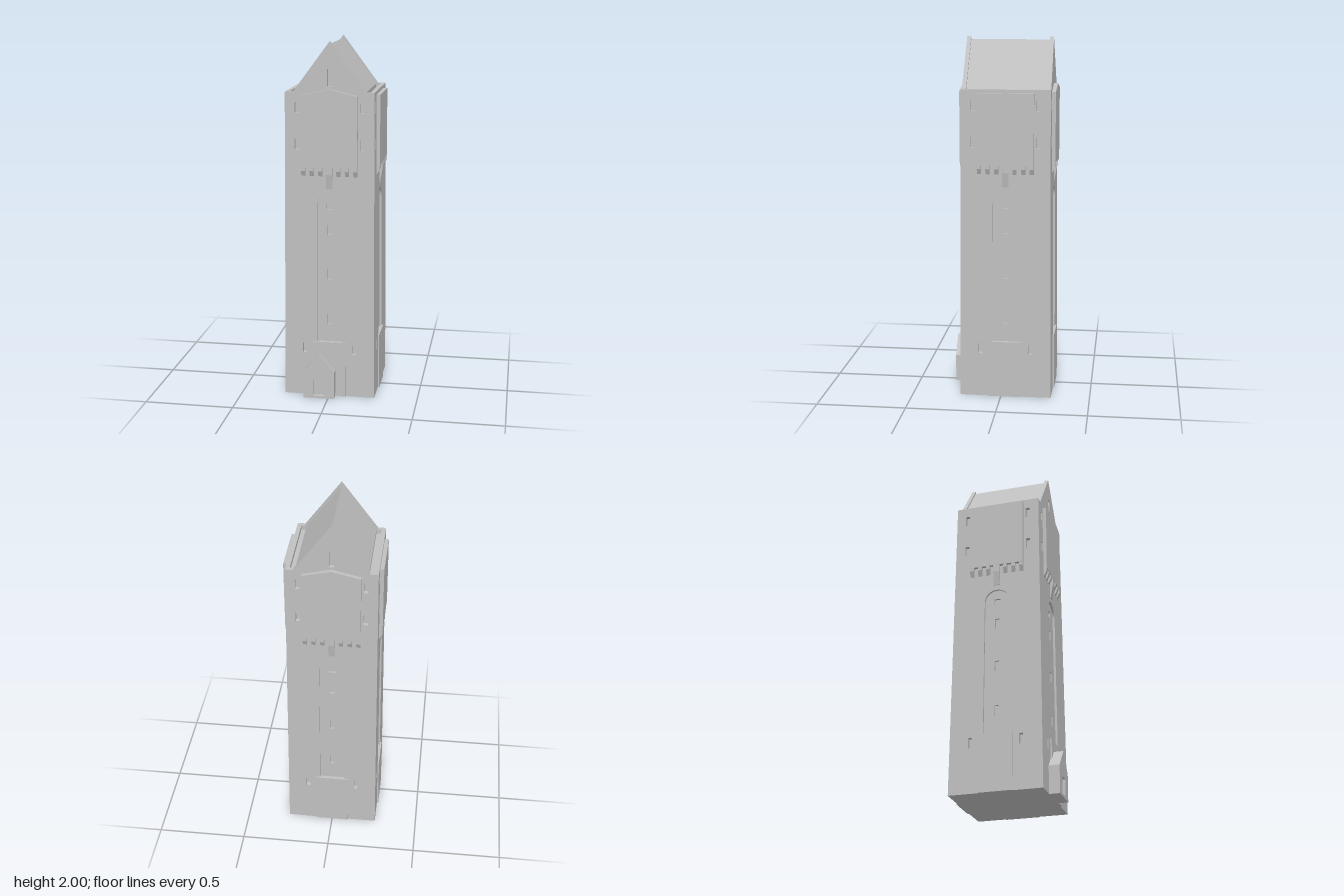
import * as THREE from 'three';

const BASE = 0.257;           // half width of the tower at the ground
const SLOPE = 0.0081;         // how far the walls lean in per unit of height
const WALL = 0.023;           // wall thickness
const TOP = 1.73;             // parapet height
const halfAt = (y) => BASE - SLOPE * y;

const stone = new THREE.MeshStandardMaterial({ color: 0xc0c0c0 });
stone.name = 'stone';

function polygon(points, Type = THREE.Shape) {
  return new Type(points.map(([x, y]) => new THREE.Vector2(x, y)));
}

// Upright rectangle given by centre x, half width and heights
function slot(x, hw, y0, y1) {
  return polygon([[x - hw, y0], [x - hw, y1], [x + hw, y1], [x + hw, y0]], THREE.Path);
}

function arch(Type, r, y0, yc) {
  const p = new Type();
  p.moveTo(-r, y0);
  p.lineTo(r, y0);
  p.lineTo(r, yc);
  p.absarc(0, yc, r, 0, Math.PI, false);
  p.lineTo(-r, y0);
  return p;
}

// Slab facing +z whose outer face lies at z = front; optionally leans with the wall
function slab(name, shape, front, depth, lean = true, mitre = false) {
  const geo = new THREE.ExtrudeGeometry(shape, { depth, bevelEnabled: false, curveSegments: 12 });
  const p = geo.attributes.position;
  for (let i = 0; i < p.count; i++) {
    const x = p.getX(i), y = p.getY(i), z = p.getZ(i);
    if (mitre && z < depth / 2 && Math.abs(x) > 0.235) p.setX(i, x - Math.sign(x) * depth);
    p.setZ(i, z + front - depth - (lean ? SLOPE * y : 0));
  }
  geo.computeVertexNormals();
  const mesh = new THREE.Mesh(geo, stone);
  mesh.name = name;
  return mesh;
}

// Bracket with a tapered underside, extruded sideways
function corbel(name, x, width, bottom, shoulder) {
  const inner = 0.236, outer = 0.264;
  const shape = polygon([
    [inner, bottom], [halfAt(bottom) + 0.003, bottom], [outer, shoulder], [outer, 1.325], [inner, 1.325],
  ]);
  const geo = new THREE.ExtrudeGeometry(shape, { depth: width, bevelEnabled: false });
  geo.rotateY(-Math.PI / 2);
  geo.translate(x + width / 2, 0, 0);
  const mesh = new THREE.Mesh(geo, stone);
  mesh.name = name;
  return mesh;
}

function towerSide(gabled) {
  const side = new THREE.Group();

  // Wall with slit windows and a tall arched niche
  const w0 = halfAt(0), w1 = halfAt(TOP);
  const outline = [[-w0, 0], [w0, 0], [w1, TOP]];
  if (gabled) outline.push([0.2, TOP], [0, 2], [-0.2, TOP]);
  outline.push([-w1, TOP]);
  const wall = polygon(outline);
  for (const s of [-1, 1]) {
    wall.holes.push(slot(s * 0.14, 0.011, 0.25, 0.307));
    wall.holes.push(slot(s * 0.18, 0.012, 1.415, 1.473));
    wall.holes.push(slot(s * 0.18, 0.012, 1.616, 1.674));
  }
  if (gabled) wall.holes.push(slot(0, 0.013, 1.76, 1.854));
  wall.holes.push(arch(THREE.Path, 0.07, 0.3, 1.1));
  side.add(slab('wall', wall, BASE, WALL, true, true));

  // Niche back with its own windows
  const niche = arch(THREE.Shape, 0.07, 0.3, 1.1);
  for (const y of [0.424, 0.683, 0.937]) niche.holes.push(slot(0, 0.012, y, y + 0.058));
  niche.holes.push(slot(0, 0.018, 1.08, 1.117));
  side.add(slab('niche', niche, BASE - 0.012, 0.011));

  // Plinth below the niche
  side.add(slab('plinth', polygon([[-0.095, 0], [0.095, 0], [0.095, 0.32], [-0.095, 0.32]]), 0.265, 0.025));

  // Projecting panel carried by corbels
  const panel = [[-0.155, 1.32], [0.155, 1.32], [0.155, 1.711]];
  if (gabled) panel.push([0, 1.747]);
  panel.push([-0.155, 1.711]);
  side.add(slab('upperPanel', polygon(panel), 0.265, 0.033, false));
  for (const x of [0.05, 0.098, 0.144]) {
    for (const s of [-1, 1]) side.add(corbel('corbel', s * x, 0.022, 1.27, 1.3));
  }
  side.add(corbel('centreBracket', 0, 0.036, 1.2, 1.28));
  return side;
}

export function createModel() {
  const model = new THREE.Group();
  model.name = 'tower';
  const tower = new THREE.Group();
  tower.name = 'towerBody';
  tower.position.z = -0.025;
  model.add(tower);

  ['front', 'left', 'back', 'right'].forEach((label, i) => {
    const side = towerSide(i % 2 === 0);
    side.name = label + 'Side';
    side.rotation.y = i * Math.PI / 2;
    tower.add(side);
  });

  // Tapered core closing the window recesses and forming the gutter floor
  const coreTop = 1.705;
  const coreGeo = new THREE.BoxGeometry(2, coreTop, 2);
  coreGeo.translate(0, coreTop / 2, 0);
  const p = coreGeo.attributes.position;
  for (let i = 0; i < p.count; i++) {
    const h = halfAt(p.getY(i)) - WALL;
    p.setX(i, p.getX(i) * h);
    p.setZ(i, p.getZ(i) * h);
  }
  coreGeo.computeVertexNormals();
  const core = new THREE.Mesh(coreGeo, stone);
  core.name = 'core';
  tower.add(core);

  // Pitched roof between the gables
  const roof = polygon([[-0.192, 1.7], [0.192, 1.7], [0.192, 1.726], [0, 1.985], [-0.192, 1.726]]);
  tower.add(slab('roof', roof, 0.2195, 0.439, false));

  // Gabled porch with a recessed doorway
  const porchShape = polygon([[-0.0875, 0], [0.0875, 0], [0.0875, 0.155], [0, 0.257], [-0.0875, 0.155]]);
  const backing = porchShape.clone();
  porchShape.holes.push(slot(0, 0.032, 0.015, 0.11));
  const porch = new THREE.Group();
  porch.name = 'porch';
  porch.position.x = -0.0525;
  porch.add(slab('porchFront', porchShape, 0.29, 0.02, false));
  porch.add(slab('porchBody', backing, 0.27, 0.05, false));
  model.add(porch);

  return model;
}
